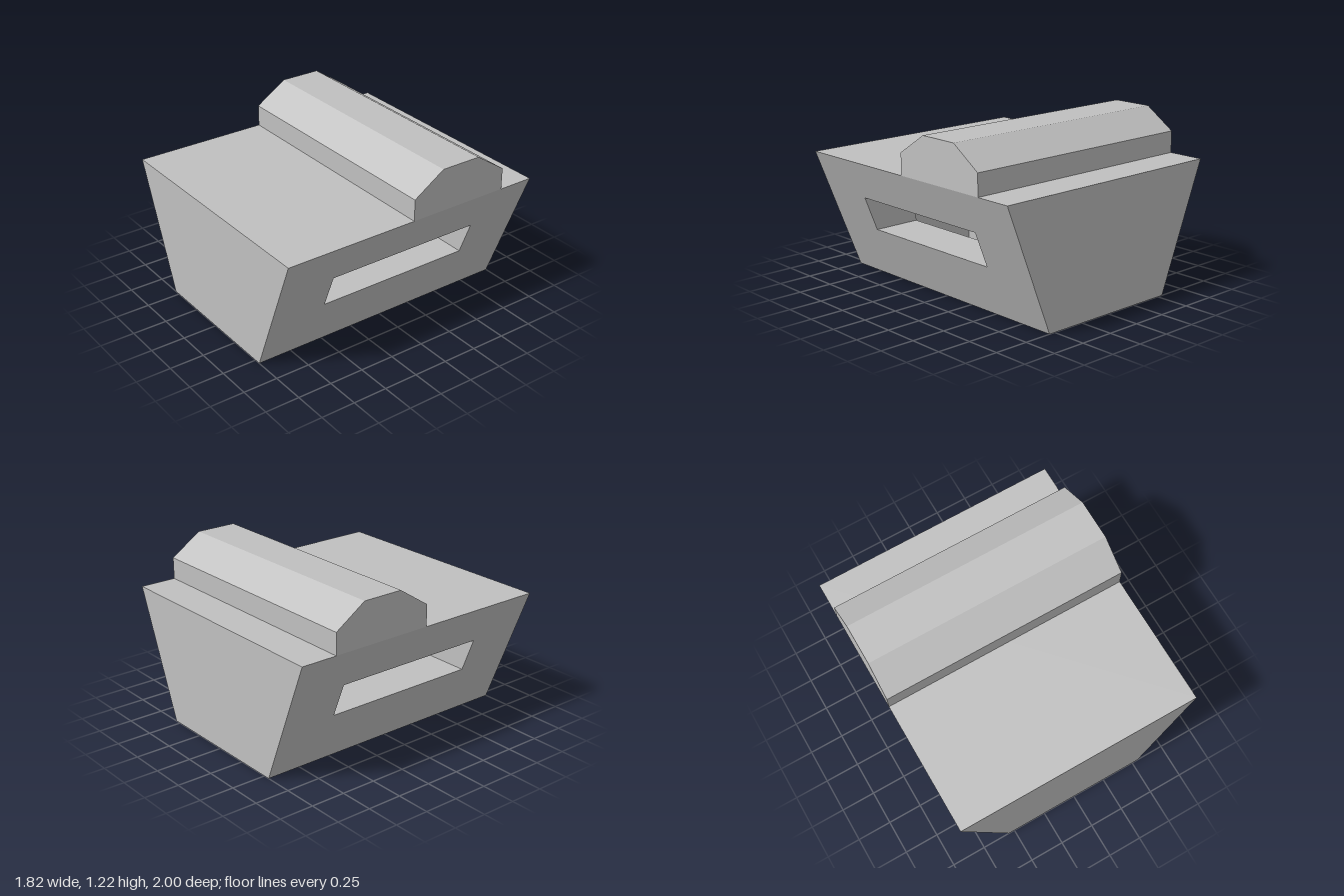
import * as THREE from 'three';

// Main dimensions
const H = 0.91, HALF_BOTTOM = 0.545, HALF_TOP = 0.91, L = 1;
const PX = 0.345, PZ = 0.79, PY = 0.71;   // pocket open at the bottom
const SZ = 0.58, SY0 = 0.38, SY1 = 0.63;  // slot through both sides

const sideX = y => HALF_BOTTOM + (HALF_TOP - HALF_BOTTOM) * y / H;
const rect = (u0, v0, u1, v1) => [[u0, v0], [u1, v0], [u1, v1], [u0, v1]];
const points = loop => loop.map(p => new THREE.Vector2(...p));

// Flat panel: 2D outline with an optional hole, placed in space by map(u, v)
function panel(outline, hole, map, flip = false) {
  const shape = new THREE.Shape(points(outline));
  if (hole) shape.holes.push(new THREE.Path(points(hole)));
  const flat = new THREE.ShapeGeometry(shape);
  const index = Array.from(flat.index.array);
  if (flip) index.reverse();
  const p = flat.attributes.position;
  return fromTriangles(index.map(i => map(p.getX(i), p.getY(i))));
}

// Band of quads joining the same loop placed by map a and map b
function band(loop, a, b) {
  return fromTriangles(loop.flatMap((p, i) => {
    const q = loop[(i + 1) % loop.length];
    return [a(...p), a(...q), b(...q), a(...p), b(...q), b(...p)];
  }));
}

function fromTriangles(corners) {
  const g = new THREE.BufferGeometry();
  g.setAttribute('position', new THREE.Float32BufferAttribute(corners.flat(), 3));
  g.computeVertexNormals();
  return g;
}

export function createModel() {
  const model = new THREE.Group();
  const grey = new THREE.MeshStandardMaterial({ color: 0xc0c0c0 });
  grey.name = 'grey';
  const add = (name, geometry) => {
    const mesh = new THREE.Mesh(geometry, grey);
    mesh.name = name;
    model.add(mesh);
  };

  const slot = rect(-SZ, SY0, SZ, SY1);
  const pocket = rect(-PX, -PZ, PX, PZ);
  const end = [[-HALF_BOTTOM, 0], [HALF_BOTTOM, 0], [HALF_TOP, H], [-HALF_TOP, H]];

  // Tapered body
  add('frontFace', panel(end, null, (x, y) => [x, y, L]));
  add('backFace', panel(end, null, (x, y) => [x, y, -L], true));
  add('deck', panel(rect(-HALF_TOP, -L, HALF_TOP, L), null, (x, z) => [x, H, z], true));
  add('bottomRim', panel(rect(-HALF_BOTTOM, -L, HALF_BOTTOM, L), pocket, (x, z) => [x, 0, z]));

  // Sloping sides, pocket side walls and slot linings
  for (const s of [1, -1]) {
    const side = s > 0 ? 'left' : 'right';
    const outer = (z, y) => [s * sideX(y), y, z];
    const inner = (z, y) => [s * PX, y, z];
    add(side + 'Side', panel(rect(-L, 0, L, H), slot, outer, s > 0));
    add(side + 'PocketWall', panel(rect(-PZ, 0, PZ, PY), slot, inner, s < 0));
    add(side + 'SlotLining', s > 0 ? band(slot, inner, outer) : band(slot, outer, inner));
  }

  // Pocket end walls and ceiling
  for (const s of [1, -1]) {
    add(s > 0 ? 'frontPocketWall' : 'backPocketWall',
      panel(rect(-PX, 0, PX, PY), null, (x, y) => [x, y, s * PZ], s > 0));
  }
  add('pocketCeiling', panel(pocket, null, (x, z) => [x, PY, z]));

  // Chamfered ridge across the deck
  const profile = [[-0.02, H], [0.735, H], [0.735, 1.065], [0.51, 1.215], [0.21, 1.215], [-0.02, 1.065]];
  const ridge = new THREE.ExtrudeGeometry(new THREE.Shape(points(profile)),
    { depth: 2 * HALF_TOP, bevelEnabled: false });
  ridge.rotateY(Math.PI / 2).translate(-HALF_TOP, 0, 0);
  add('ridge', ridge);

  return model;
}
